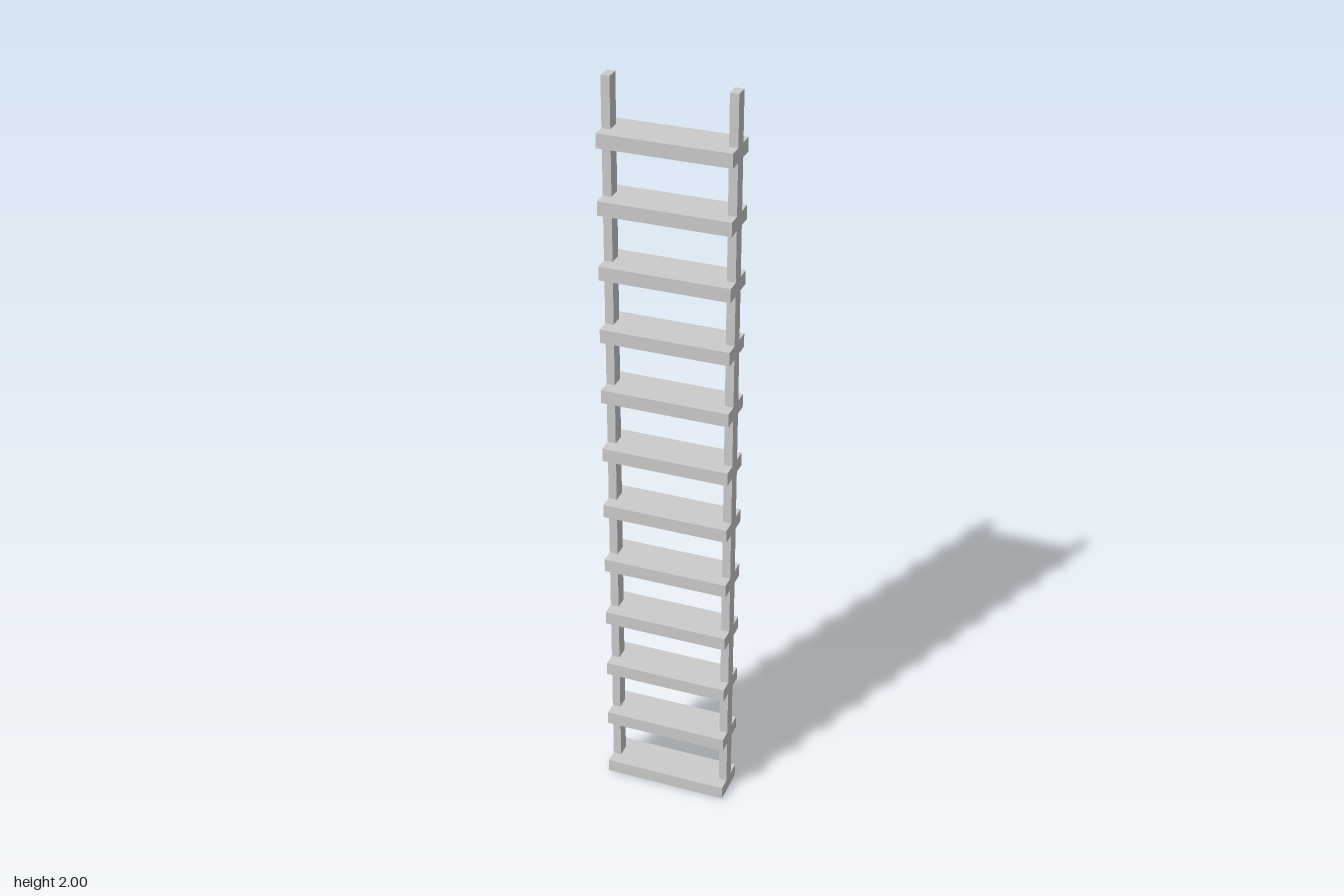
import * as THREE from 'three';

const HEIGHT = 2;
const WIDTH = 0.33;
const STEP = { count: 12, height: 0.036, depth: 0.105, spacing: 0.167 };
const RAIL = { width: 0.022, depth: 0.035 };

export function createModel() {
  const ladder = new THREE.Group();
  ladder.name = 'ladder';
  const material = new THREE.MeshStandardMaterial({ color: 0xcccccc, flatShading: true });

  const addBox = (name, w, h, d, x, y) => {
    const mesh = new THREE.Mesh(new THREE.BoxGeometry(w, h, d), material);
    mesh.name = name;
    mesh.position.set(x, y, 0);
    ladder.add(mesh);
  };

  // Upright rails, standing on the lowest step and flush with the step ends
  const railHeight = HEIGHT - STEP.height;
  for (const [name, side] of [['leftRail', 1], ['rightRail', -1]]) {
    addBox(name, RAIL.width, railHeight, RAIL.depth,
      side * (WIDTH - RAIL.width) / 2, STEP.height + railHeight / 2);
  }

  // Evenly spaced flat steps
  for (let i = 0; i < STEP.count; i++) {
    addBox(`step${i + 1}`, WIDTH, STEP.height, STEP.depth,
      0, STEP.height / 2 + i * STEP.spacing);
  }

  return ladder;
}
